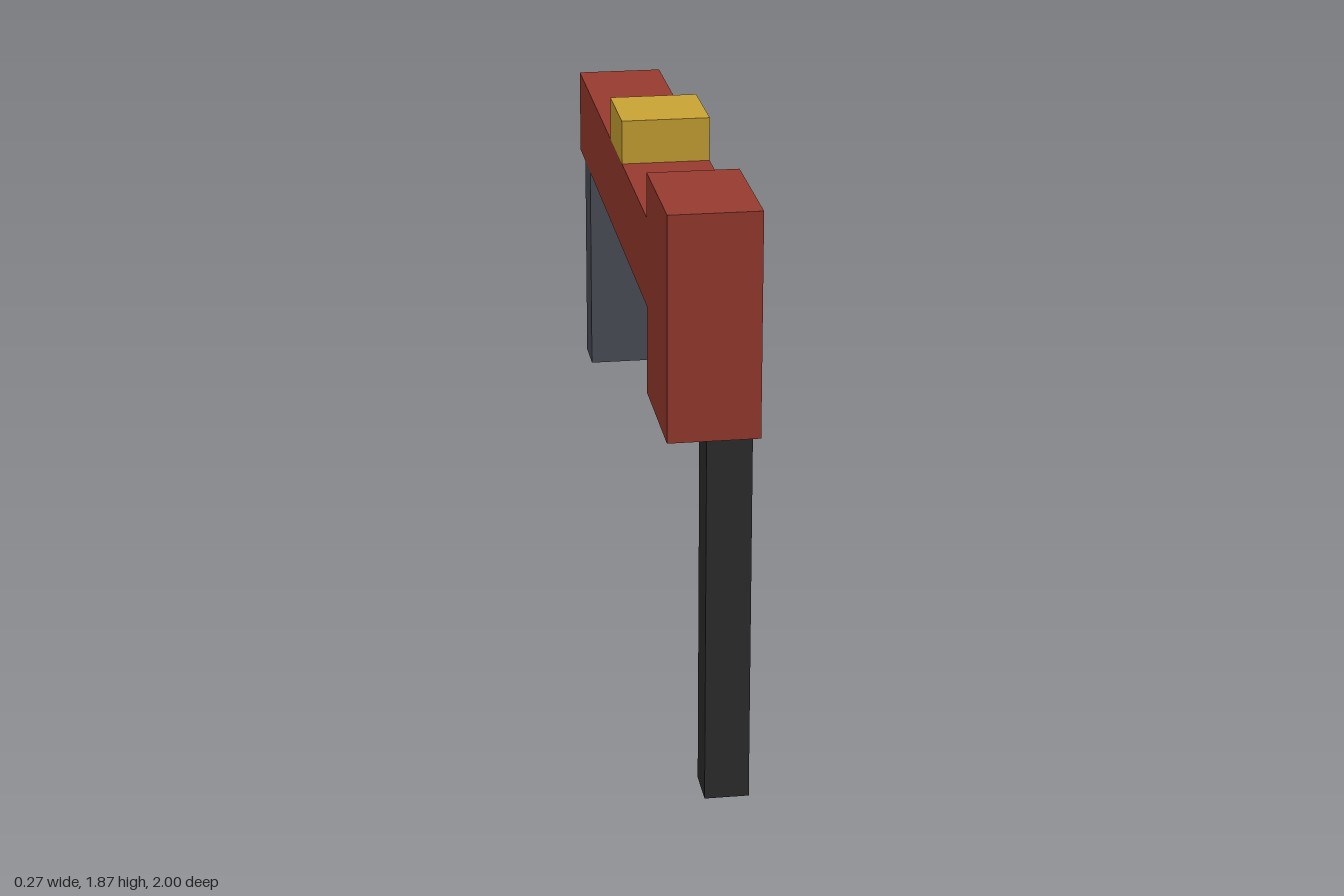
import * as THREE from 'three';

const U = 2 / 15; // modelling grid step

function paint(name, color) {
  const m = new THREE.MeshStandardMaterial({ color });
  m.name = name;
  return m;
}

export function createModel() {
  const red = paint('brick red', 0x973a2e);
  const gold = paint('gold', 0xc8a234);
  const slate = paint('slate grey', 0x4a4e58);
  const black = paint('charcoal', 0x2d2d2d);

  const model = new THREE.Group();
  model.name = 'model';

  // Box from its low and high corners, in grid steps
  function block(name, material, [x0, y0, z0], [x1, y1, z1]) {
    const mesh = new THREE.Mesh(
      new THREE.BoxGeometry((x1 - x0) * U, (y1 - y0) * U, (z1 - z0) * U), material);
    mesh.position.set((x0 + x1) / 2 * U, (y0 + y1) / 2 * U, (z0 + z1) / 2 * U);
    mesh.name = name;
    model.add(mesh);
  }

  // Tall front block and the long beam behind it
  block('frontBlock', red, [-1, 9, 4.5], [1, 14, 7.5]);
  block('beam', red, [-1, 11, -7.5], [1, 13, 4.5]);

  // Raised block on top of the beam
  block('topBlock', gold, [-1, 13, -1.5], [1, 14, 0.5]);

  // Thin post under the front, offset to the left; wide plate under the back
  block('frontPost', black, [0, 0, 5.5], [1, 9, 6.5]);
  block('rearGrip', slate, [-1, 6, -6.5], [1, 11, -5.5]);

  return model;
}
